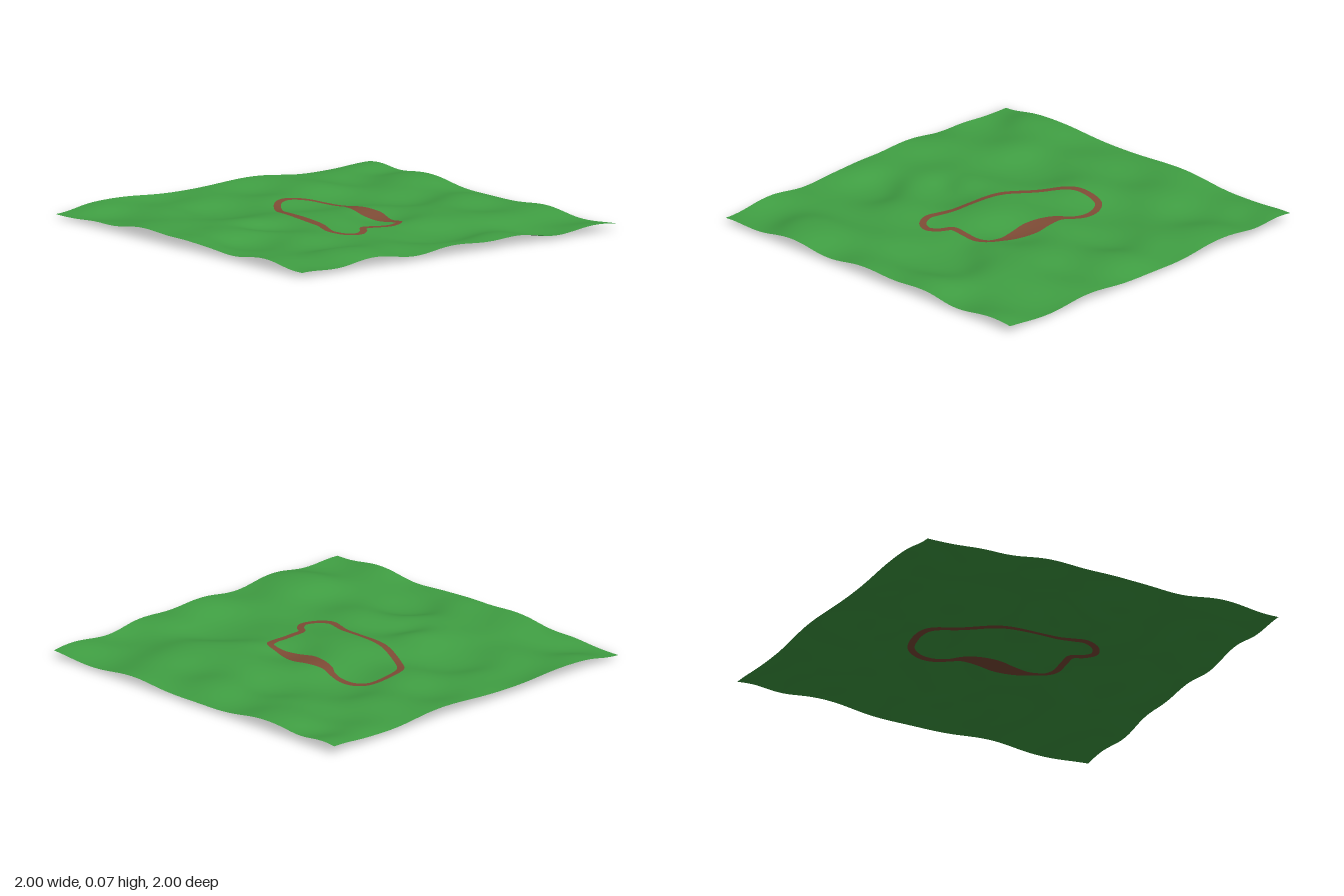
import * as THREE from 'three';

const grass = new THREE.MeshStandardMaterial({ color: 0x409f43, side: THREE.DoubleSide });
grass.name = 'grass green';
const dirt = new THREE.MeshStandardMaterial({ color: 0x7f4c36, side: THREE.DoubleSide });
dirt.name = 'dirt brown';

// Slopes falling towards +x +z: x, z, height, spread
const slopes = [
  [0.6, -0.36, 0.028, 0.13], [0.38, -0.16, 0.016, 0.1], [0.87, -0.62, 0.013, 0.1],
  [-0.2, -0.67, 0.014, 0.11], [-0.55, -0.45, 0.014, 0.12], [-0.85, -0.92, 0.02, 0.1],
  [0.15, 0.66, 0.028, 0.11], [-0.08, 0.46, 0.018, 0.08], [-0.28, 0.68, 0.018, 0.12],
  [-0.85, 0.86, 0.024, 0.1], [-0.66, 0.36, 0.022, 0.12], [0.85, 0.72, 0.012, 0.12],
  [0.1, 0.97, 0.02, 0.12],
];

// Rolling ground, kept between 0 and 0.084
function groundHeight(x, z) {
  let h = 0.008 * Math.sin(6.3 * x + 2.1 * z + 1.2)
    + 0.008 * Math.sin(7.4 * z - 3.2 * x + 0.6)
    + 0.01 * Math.sin(13 * x - 3 * z + 2) * Math.cos(5 * z + 0.7)
    + 0.008 * Math.sin(13.5 * z + 4 * x) * Math.cos(4 * x - 0.5);
  for (const [cx, cz, a, s] of slopes) {
    const dx = (x - cx) / s, dz = (z - cz) / s;
    h -= a * (dx + dz) * 0.7 * Math.exp(-(dx * dx + dz * dz) / 2);
  }
  return 0.042 + 0.042 * Math.tanh(h / 0.036);
}

function makeGround() {
  const geo = new THREE.PlaneGeometry(2, 2, 140, 140).rotateX(-Math.PI / 2);
  const p = geo.attributes.position;
  for (let i = 0; i < p.count; i++) p.setY(i, groundHeight(p.getX(i), p.getZ(i)));
  geo.computeVertexNormals();
  return geo;
}

// Track centre line: x, z, half width (default 0.018)
const trackPoints = [
  [-0.465, -0.05], [-0.45, -0.19], [-0.39, -0.235], [-0.3, -0.25], [-0.21, -0.235],
  [-0.15, -0.21, 0.028], [-0.05, -0.2, 0.048], [0.04, -0.195, 0.06], [0.14, -0.185, 0.042],
  [0.22, -0.18, 0.023], [0.3, -0.165], [0.325, -0.11], [0.32, 0], [0.32, 0.075],
  [0.37, 0.115], [0.4, 0.17], [0.37, 0.235], [0.3, 0.265], [0.24, 0.25], [0.165, 0.225],
  [0.06, 0.215], [-0.1, 0.2], [-0.18, 0.18], [-0.32, 0.115], [-0.43, 0.03],
].map(([x, z, w = 0.018]) => new THREE.Vector3(x, w, z));

// Closed ribbon draped over the ground; the y of the curve holds the half width
function makeTrack(lift) {
  const curve = new THREE.CatmullRomCurve3(trackPoints, true);
  const steps = 260, across = 8, pos = [], index = [];
  for (let i = 0; i <= steps; i++) {
    const t = (i % steps) / steps;
    const c = curve.getPoint(t), d = curve.getTangent(t);
    const len = Math.hypot(d.x, d.z);
    for (let j = 0; j <= across; j++) {
      const s = (j / across * 2 - 1) * c.y;
      const x = c.x - d.z / len * s, z = c.z + d.x / len * s;
      pos.push(x, groundHeight(x, z) + lift, z);
      if (i < steps && j < across) {
        const a = i * (across + 1) + j, b = a + across + 1;
        index.push(a, a + 1, b, b, a + 1, b + 1);
      }
    }
  }
  const geo = new THREE.BufferGeometry();
  geo.setAttribute('position', new THREE.Float32BufferAttribute(pos, 3));
  geo.setIndex(index);
  geo.computeVertexNormals();
  // Turn the faces upwards if the loop runs the other way
  if (geo.attributes.normal.getY(0) < 0) {
    geo.setIndex(index.reverse());
    geo.computeVertexNormals();
  }
  return geo;
}

export function createModel() {
  const group = new THREE.Group();
  group.name = 'terrainWithTrack';
  const add = (name, geo, mat) => {
    const mesh = new THREE.Mesh(geo, mat);
    mesh.name = name;
    group.add(mesh);
  };
  add('ground', makeGround(), grass);
  add('trackTop', makeTrack(0.002), dirt);
  add('trackUnderside', makeTrack(-0.002), dirt);

  // Stand the lowest point on y = 0
  const low = new THREE.Box3().setFromObject(group).min.y;
  for (const m of group.children) m.geometry.translate(0, -low, 0);
  return group;
}
